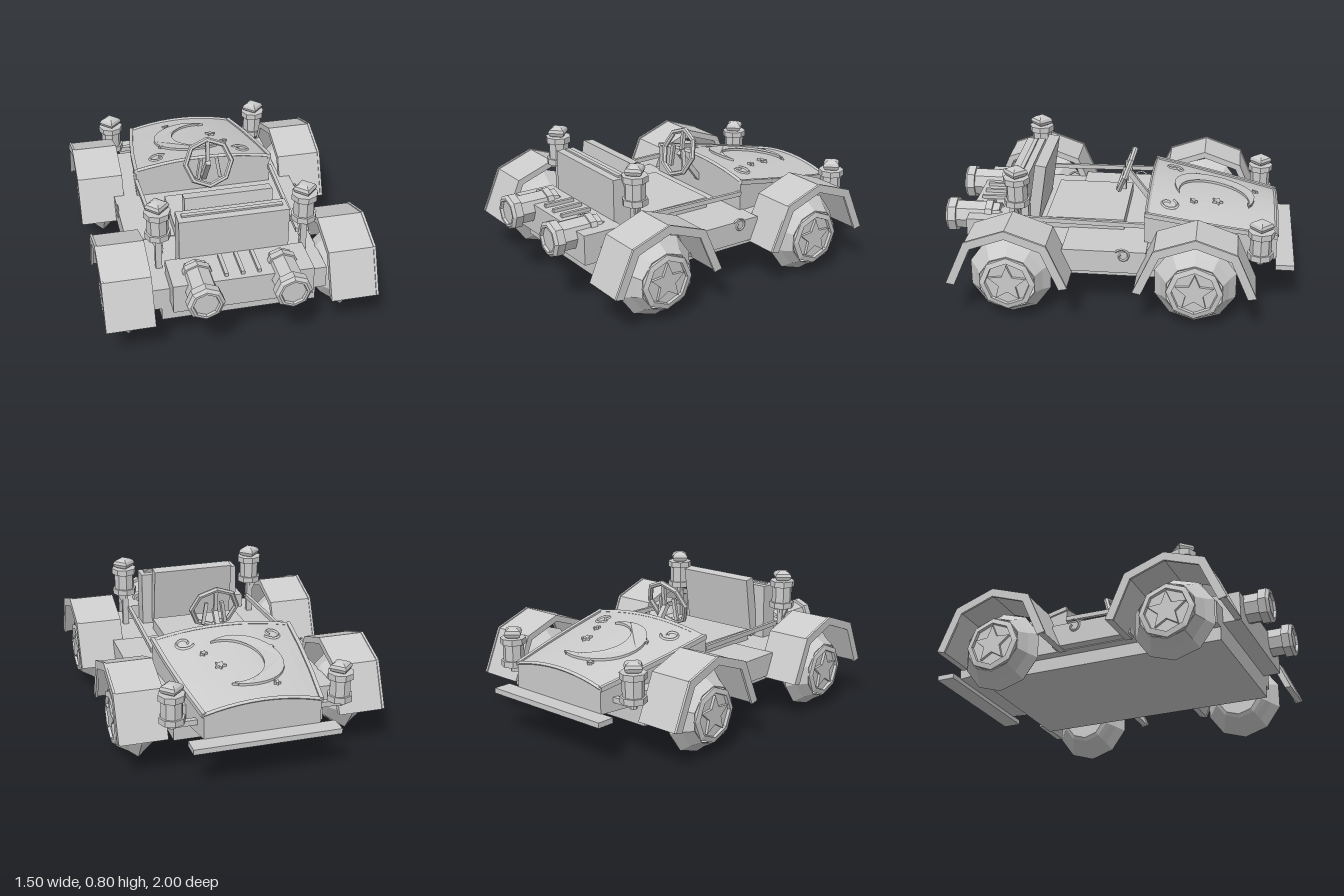
import * as THREE from 'three';

const V = (x, y, z) => new THREE.Vector3(x, y, z);

export function createModel() {
  const car = new THREE.Group();
  car.name = 'toyCar';
  const mat = new THREE.MeshStandardMaterial({ color: 0xcccccc, flatShading: true, side: THREE.DoubleSide });

  const add = (name, geo, parent = car) => {
    const m = new THREE.Mesh(geo, mat);
    m.name = name;
    parent.add(m);
    return m;
  };
  const group = (name, x, y, z) => {
    const g = new THREE.Group();
    g.name = name;
    g.position.set(x, y, z);
    car.add(g);
    return g;
  };
  // box given by its minimum and maximum corners
  const box = (name, x0, x1, y0, y1, z0, z1) => {
    const m = add(name, new THREE.BoxGeometry(x1 - x0, y1 - y0, z1 - z0));
    m.position.set((x0 + x1) / 2, (y0 + y1) / 2, (z0 + z1) / 2);
    return m;
  };
  // square bar between two points
  const bar = (name, a, b, w, h = w, parent = car) => {
    const m = add(name, new THREE.BoxGeometry(w, h, a.distanceTo(b)), parent);
    m.position.copy(a).lerp(b, 0.5);
    m.lookAt(m.position.clone().add(b).sub(a));
    return m;
  };
  const lathe = (pts, seg, start = 0) =>
    new THREE.LatheGeometry(pts.map(p => new THREE.Vector2(p[0], p[1])), seg, start);
  const shape = pts => new THREE.Shape(pts.map(p => new THREE.Vector2(p[0], p[1])));
  const extrude = (s, depth) => new THREE.ExtrudeGeometry(s, { depth, bevelEnabled: false, curveSegments: 10 });
  const star = r => shape(Array.from({ length: 10 }, (_, i) => {
    const a = Math.PI / 2 + i * Math.PI / 5, q = i % 2 ? r * 0.45 : r;
    return [Math.cos(a) * q, Math.sin(a) * q];
  }));
  const swirl = (r, side) => {
    const pts = Array.from({ length: 13 }, (_, i) => {
      const a = 2.6 - i * 0.55, q = r * (1 - i / 18);
      return V(side * Math.cos(a) * q, Math.sin(a) * q, 0);
    });
    return new THREE.TubeGeometry(new THREE.CatmullRomCurve3(pts), 16, r * 0.14, 4);
  };

  // chassis and floor
  box('chassis', -0.43, 0.43, 0.165, 0.285, -0.68, 0.76);
  box('floor', -0.49, 0.49, 0.24, 0.37, -0.68, 0.76);
  box('sidePanels', -0.545, 0.545, 0.245, 0.375, -0.18, 0.29);
  box('bumper', -0.41, 0.41, 0.24, 0.27, -1, -0.895);
  box('engineBlock', -0.385, 0.385, 0.285, 0.455, 0.62, 0.86);
  box('rearWall', -0.305, 0.305, 0.37, 0.69, 0.515, 0.625);
  box('rearWallRidge', -0.28, 0.28, 0.69, 0.7, 0.555, 0.58);
  for (const x of [-0.09, 0, 0.09]) box('louvre', x - 0.01, x + 0.01, 0.45, 0.475, 0.65, 0.83);

  // seat
  box('seatCushion', -0.265, 0.265, 0.37, 0.435, -0.03, 0.42);
  const back = box('seatBack', -0.245, 0.245, 0.38, 0.74, 0.443, 0.508);
  back.rotation.x = -0.15;

  // hood: crowned cross-sections that narrow toward the nose
  const halfWidth = z => { const t = (z + 0.9) / 0.74; return 0.325 + 0.13 * t - 0.045 * t * t; };
  const hoodY = (x, z) => {
    const t = (z + 0.9) / 0.74, u = x / halfWidth(z);
    return 0.405 + 0.14 * t + 0.045 * (1 - u * u);
  };
  const zs = [-0.16, -0.4, -0.65, -0.9], N = 10, ring = N + 3;
  const pos = [], idx = [];
  for (const z of zs) {
    const w = halfWidth(z);
    for (let i = 0; i <= N; i++) {
      const x = w * (2 * i / N - 1);
      pos.push(x, hoodY(x, z), z);
    }
    pos.push(w, 0.265, z, -w, 0.265, z);
  }
  for (let s = 0; s < zs.length - 1; s++) {
    for (let i = 0; i < ring; i++) {
      const a = s * ring + i, b = s * ring + (i + 1) % ring;
      idx.push(a, b, a + ring, b, b + ring, a + ring);
    }
  }
  const last = (zs.length - 1) * ring;
  for (let i = 1; i < ring - 1; i++) idx.push(0, i + 1, i, last, last + i, last + i + 1);
  const hood = new THREE.BufferGeometry();
  hood.setAttribute('position', new THREE.Float32BufferAttribute(pos, 3));
  hood.setIndex(idx);
  hood.computeVertexNormals();
  add('hood', hood);

  // raised trim round the hood edges
  for (const s of [-1, 1]) {
    for (let i = 0; i < zs.length - 1; i++) {
      const p = z => V(s * halfWidth(z), hoodY(halfWidth(z), z), z);
      bar('hoodTrim', p(zs[i]), p(zs[i + 1]), 0.022, 0.026);
    }
  }
  for (const z of [-0.17, -0.895]) {
    const w = halfWidth(z);
    const arc = Array.from({ length: 9 }, (_, i) => { const x = w * (i / 4 - 1); return V(x, hoodY(x, z), z); });
    add('hoodEndTrim', new THREE.TubeGeometry(new THREE.CatmullRomCurve3(arc), 10, 0.012, 4));
  }

  // ornaments laid over the hood: flat (x, y) art becomes (x, -z) and follows the crown
  const drape = (name, geo, cx, cz) => {
    geo.rotateX(-Math.PI / 2).translate(cx, 0, cz);
    const p = geo.attributes.position;
    for (let i = 0; i < p.count; i++) p.setY(i, p.getY(i) + hoodY(p.getX(i), p.getZ(i)));
    geo.computeVertexNormals();
    add(name, geo);
  };
  const moon = new THREE.Shape();
  const ao = Math.atan2(0.2, 0.12), ai = Math.atan2(0.2, 0.037);
  moon.absarc(0, 0, 0.233, ao, 2 * Math.PI - ao, false);
  moon.absarc(0.083, 0, 0.203, 2 * Math.PI - ai, ai, true);
  drape('hoodMoon', extrude(moon, 0.014), 0, -0.535);
  for (const [x, z, r] of [[0.13, -0.555, 0.033], [0.185, -0.42, 0.022], [-0.12, -0.77, 0.02],
    [0.09, -0.74, 0.014], [-0.21, -0.43, 0.014]]) drape('hoodStar', extrude(star(r), 0.014), x, z);
  for (const s of [-1, 1]) drape('hoodSwirl', swirl(0.058, s), s * 0.26, -0.28);

  // steering wheel and column
  const wheel = group('steeringWheel', 0, 0.64, -0.018);
  wheel.rotation.x = -0.37;
  const rim = add('steeringRim', new THREE.TorusGeometry(0.137, 0.016, 6, 8), wheel);
  rim.rotation.z = Math.PI / 2;
  for (let i = 0; i < 3; i++) {
    const a = Math.PI / 2 + i * Math.PI * 2 / 3;
    bar('steeringSpoke', V(0, 0, -0.015), V(Math.cos(a) * 0.13, Math.sin(a) * 0.13, 0), 0.022, 0.02, wheel);
  }
  bar('steeringColumn', V(0, 0.635, -0.025), V(0, 0.45, -0.165), 0.03);

  // two rear boosters
  for (const s of [-1, 1]) {
    const b = group('booster', s * 0.235, 0.415, 0.69);
    const prof = [[0, 0], [0.078, 0], [0.08, 0.04], [0.095, 0.04], [0.095, 0.08], [0.085, 0.08], [0.085, 0.25],
      [0.102, 0.25], [0.102, 0.295], [0.085, 0.31], [0.072, 0.31], [0.068, 0.295], [0, 0.295]];
    add('boosterShell', lathe(prof, 8), b).rotation.x = Math.PI / 2;
    for (const x of [-0.04, 0.04]) bar('boosterPeg', V(x, 0.035, -0.04), V(x, 0.035, 0.02), 0.018, 0.018, b);
  }

  // wheels, fenders and axles
  const tyre = [[0, -0.125], [0.13, -0.125], [0.15, -0.11], [0.17, -0.085], [0.195, -0.05], [0.235, 0], [0.195, 0.05],
    [0.175, 0.085], [0.16, 0.11], [0.155, 0.11]];
  const hub = [[0.155, 0.095], [0.155, 0.118], [0.125, 0.125], [0.122, 0.108], [0, 0.108]];
  const arch = (name, grow, x0, x1, parent) => {
    const out = [[-0.33, 0.235], [-0.222, 0.485], [0, 0.565], [0.222, 0.485], [0.33, 0.235]];
    const inn = [[0.293, 0.235], [0.195, 0.457], [0, 0.527], [-0.195, 0.457], [-0.293, 0.235]];
    const pts = [...out.map(p => [p[0] * (1 + grow), p[1] + grow / 3]), ...inn.map(p => [p[0] * (1 - grow), p[1] - grow / 3])];
    const m = add(name, extrude(shape(pts), x1 - x0), parent);
    m.rotation.y = Math.PI / 2;
    m.position.x = x0;
  };
  for (const z of [0.565, -0.457]) {
    const axle = add('axle', new THREE.CylinderGeometry(0.035, 0.035, 1.1, 8));
    axle.rotation.z = Math.PI / 2;
    axle.position.set(0, 0.24, z);
    for (const s of [-1, 1]) {
      const w = group('wheel', s * 0.607, 0.24, z);
      w.rotation.y = s > 0 ? 0 : Math.PI;
      add('tyre', lathe(tyre, 10, Math.PI / 2), w).rotation.z = -Math.PI / 2;
      add('hubRing', lathe(hub, 8, Math.PI / 2), w).rotation.z = -Math.PI / 2;
      const st = add('hubStar', extrude(star(0.11), 0.018), w);
      st.rotation.y = Math.PI / 2;
      st.position.x = 0.106;
      const f = group('fender', 0, 0, z);
      f.rotation.y = w.rotation.y;
      arch('fenderShell', 0, 0.485, 0.742, f);
      arch('fenderTrim', 0.015, 0.738, 0.752, f);
    }
  }

  // lanterns, low at the nose and high behind the seat
  const lamp = [[0, -0.035], [0.02, -0.035], [0.02, 0], [0.072, 0], [0.072, 0.035], [0.06, 0.035], [0.06, 0.13],
    [0.074, 0.13], [0.074, 0.165], [0, 0.165]];
  for (const s of [-1, 1]) {
    for (const [x, y, z] of [[0.47, 0.345, -0.805], [0.408, 0.575, 0.555]]) {
      const l = group('lantern', s * x, y, z);
      add('lanternBody', lathe(lamp, 8), l);
      const dome = add('lanternDome', new THREE.SphereGeometry(0.068, 4, 6), l);
      dome.scale.y = 0.5;
      dome.position.y = 0.192;
    }
    bar('lanternPost', V(s * 0.408, 0.58, 0.555), V(s * 0.408, 0.36, 0.555), 0.035);
    bar('lanternBrace', V(s * 0.46, 0.6, 0.555), V(s * 0.39, 0.46, 0.555), 0.02);
    bar('noseLanternArm', V(s * 0.47, 0.33, -0.805), V(s * 0.32, 0.33, -0.805), 0.03);

    // cockpit rail and side swirls
    bar('sideRail', V(s * 0.41, 0.477, -0.16), V(s * 0.385, 0.477, 0.53), 0.02, 0.026);
    for (const [x, z] of [[0.546, -0.05], [0.491, 0.37]]) {
      const m = add('sideSwirl', swirl(0.045, s));
      m.rotation.y = Math.PI / 2;
      m.position.set(s * x, 0.35, z);
    }
  }
  return car;
}
